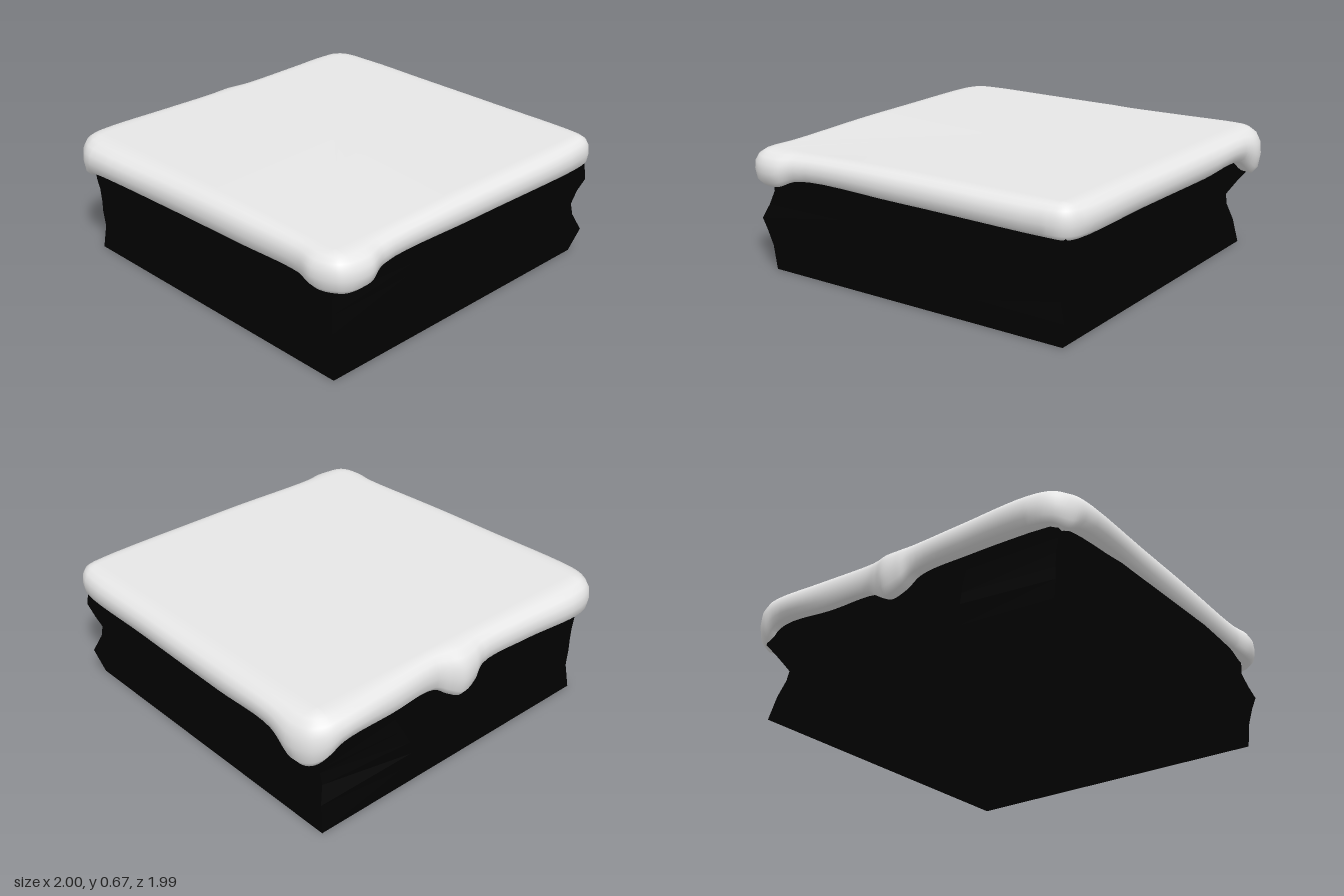
import * as THREE from 'three';

// Skin a stack of closed rings (bottom to top, counterclockwise from above), capped at both ends.
function skin(rings, bottomY, topY) {
  const n = rings[0].length;
  const points = rings.flat();
  const index = [];
  for (let l = 0; l < rings.length - 1; l++) {
    for (let i = 0; i < n; i++) {
      const j = (i + 1) % n;
      const a = l * n + i, b = l * n + j, c = b + n, d = a + n;
      index.push(a, b, c, a, c, d);
    }
  }
  const cap = (l, y, up) => {
    const centre = points.push(new THREE.Vector3(0, y, 0)) - 1;
    for (let i = 0; i < n; i++) {
      const a = l * n + i, b = l * n + ((i + 1) % n);
      index.push(centre, up ? a : b, up ? b : a);
    }
  };
  cap(rings.length - 1, topY, true);
  cap(0, bottomY, false);
  const g = new THREE.BufferGeometry().setFromPoints(points);
  g.setIndex(index);
  g.computeVertexNormals();
  return g;
}

// Rocky base, per level: height, four corners (x, z), and how far the middle of
// the front, right, back and left sides stands out.
function rockGeometry() {
  const levels = [
    [0, [-.88, .87, .87, .87, .87, -.9, -.88, -.9], [.87, .87, -.9, -.88]],
    [.13, [-.89, .88, .905, .91, .85, -.87, -.87, -.88], [.895, .89, -.925, -.895]],
    [.22, [-.905, .9, .865, .88, .82, -.845, -.88, -.88], [.885, .87, -.95, -.905]],
    [.28, [-.925, .91, .86, .87, .82, -.83, -.88, -.88], [.875, .865, -.94, -.91]],
    [.35, [-.9, .88, .89, .88, .86, -.88, -.885, -.88], [.87, .875, -.92, -.925]],
    [.42, [-.88, .86, .91, .91, .91, -.92, -.9, -.88], [.89, .89, -.9, -.95]],
    [.53, [-.88, .87, .9, .9, .9, -.9, -.9, -.88], [.88, .86, -.87, -.92]],
  ];
  const rings = levels.map(([y, c, middle]) => {
    const ring = [];
    for (let s = 0; s < 4; s++) {
      const e = (s + 1) % 4;
      const a = new THREE.Vector3(c[s * 2], y, c[s * 2 + 1]);
      const b = new THREE.Vector3(c[e * 2], y, c[e * 2 + 1]);
      for (const t of [0, .27, .72]) {
        const p = a.clone().lerp(b, t);
        if (t > 0) p[s % 2 ? 'x' : 'z'] = middle[s];
        ring.push(p);
      }
    }
    return ring;
  });
  return skin(rings, 0, .53);
}

// Snow cap: outline of [x, z, height of the lower rim], with drips where the rim dips.
function snowGeometry() {
  const outline = [
    [-.93, .935, .48], [-.87, .975, .475], [-.76, .99, .48], [-.65, .957, .52], [0, .955, .525],
    [.8, .948, .515], [.91, .915, .51], [.955, .83, .51], [.975, .3, .515], [.985, -.3, .51],
    [.99, -.68, .51], [.998, -.83, .42], [.965, -.92, .42], [.9, -.97, .45], [.8, -.985, .51],
    [.5, -.968, .5], [.2, -.95, .49], [.12, -.97, .44], [.05, -.995, .41], [-.03, -.985, .44],
    [-.1, -.965, .5], [-.4, -.972, .51], [-.78, -.985, .49], [-.91, -.945, .48], [-.975, -.87, .46],
    [-1, -.78, .49], [-.98, -.2, .5], [-.962, .3, .5], [-.95, .7, .5], [-.97, .82, .48],
  ].map(([x, z, y]) => new THREE.Vector3(x, y, z));
  const rim = new THREE.CatmullRomCurve3(outline, true).getPoints(180).slice(0, -1);
  // Edge section: reach from the flat top outward, and height from rim to top
  const section = [
    [0, .06], [.4, .02], [.72, 0], [.92, .14], [1, .42],
    [.96, .66], [.8, .84], [.54, .95], [.27, .99], [0, 1],
  ];
  const inner = .85, top = .667;
  const rings = section.map(([reach, h]) => rim.map((p) => {
    // The top falls gently towards the corner at -x, +z
    const sag = .014 * (1 - THREE.MathUtils.smoothstep(Math.hypot(p.x + .9, p.z - .9), .1, .9));
    return new THREE.Vector3(
      THREE.MathUtils.lerp(THREE.MathUtils.clamp(p.x, -inner, inner), p.x, reach),
      THREE.MathUtils.lerp(p.y, top - sag, h),
      THREE.MathUtils.lerp(THREE.MathUtils.clamp(p.z, -inner, inner), p.z, reach),
    );
  }));
  return skin(rings, .52, .662);
}

export function createModel() {
  const rockBlack = new THREE.MeshStandardMaterial({ color: 0x010101, flatShading: true });
  rockBlack.name = 'rock black';
  const snowWhite = new THREE.MeshStandardMaterial({ color: 0xe7e7e7 });
  snowWhite.name = 'snow white';

  const group = new THREE.Group();
  group.name = 'snowyRockTile';
  const rock = new THREE.Mesh(rockGeometry(), rockBlack);
  rock.name = 'rockBase';
  const snow = new THREE.Mesh(snowGeometry(), snowWhite);
  snow.name = 'snowCap';
  group.add(rock, snow);
  return group;
}
